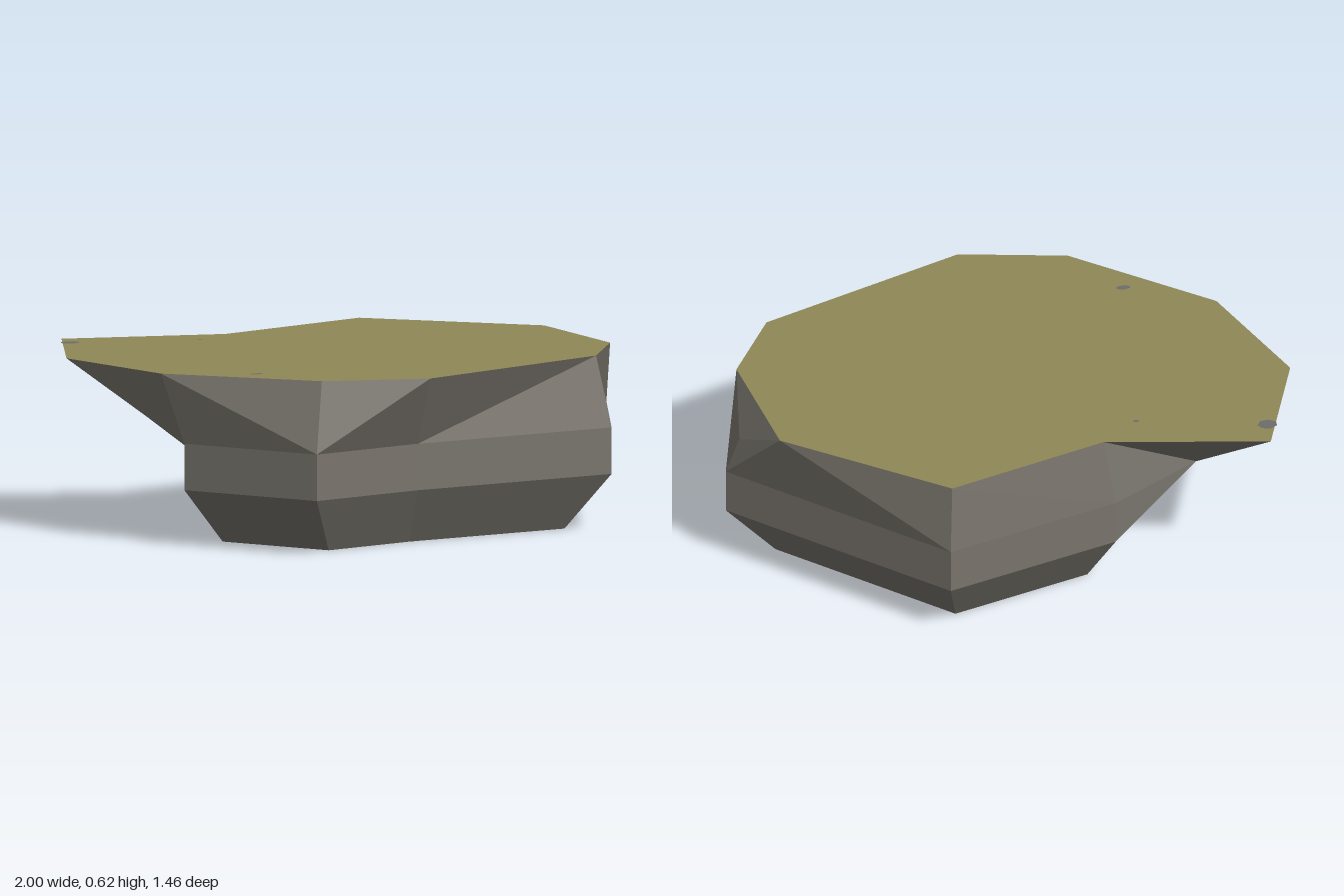
import * as THREE from 'three';

const rock = new THREE.MeshStandardMaterial({ name: 'rock', color: 0x79756d });
const grass = new THREE.MeshStandardMaterial({ name: 'grass', color: 0x8f8857 });
const pebble = new THREE.MeshStandardMaterial({ name: 'pebble', color: 0x6d6d6b });

const TOP = 0.615, SHOULDER = 0.365, WAIST = 0.2;

// Outlines as [x, z], counter-clockwise seen from above
const topRing = [
  [-0.81, 0.3], [-0.34, 0.66], [0.04, 0.73], [0.77, 0.42], [0.92, 0.15],
  [0.84, -0.31], [0.29, -0.7], [-0.28, -0.5], [-0.86, -0.59], [-1, -0.15],
];
const shoulderRing = [
  [-0.73, 0.32], [-0.38, 0.72], [0.04, 0.6], [0.81, 0.47],
  [1, -0.11], [0.3, -0.73], [-0.32, -0.52], [-0.64, -0.31],
];
// The waist is undercut below the overhanging ledge
const waistRing = [...shoulderRing.slice(0, 7), [-0.46, -0.09]];
const baseRing = waistRing.map(([x, z]) => [x * 0.8 + 0.02, z * 0.8]);

const raise = (ring, y) => ring.map(([x, z]) => [x, y, z]);

function flatMesh(name, triangles) {
  const geo = new THREE.BufferGeometry();
  geo.setAttribute('position', new THREE.Float32BufferAttribute(triangles.flat(2), 3));
  geo.computeVertexNormals();
  const mesh = new THREE.Mesh(geo, rock);
  mesh.name = name;
  return mesh;
}

// Joins two rings with equal counts
function band(name, low, high) {
  const tris = [];
  low.forEach((a, i) => {
    const j = (i + 1) % low.length;
    tris.push([a, low[j], high[j]], [a, high[j], high[i]]);
  });
  return flatMesh(name, tris);
}

// Flat outline, facing up or down
function cap(name, ring, y, material, up) {
  const shape = new THREE.Shape(ring.map(([x, z]) => new THREE.Vector2(x, up ? -z : z)));
  const geo = new THREE.ShapeGeometry(shape);
  geo.rotateX(up ? -Math.PI / 2 : Math.PI / 2);
  const mesh = new THREE.Mesh(geo, material);
  mesh.name = name;
  mesh.position.y = y;
  return mesh;
}

// Irregular facets between the shoulder and the top edge
function upperFacets() {
  const [c, d, e, g, h, i, j, k, a, b] = raise(topRing, TOP);
  const [C, D, E, G, P, J, L, Q] = raise(shoulderRing, SHOULDER);
  const n = [0.95, 0.49, -0.1];
  return flatMesh('upperRock', [
    [C, D, c], [c, D, d], [d, D, e], [D, E, e], [e, E, g], [E, G, g],
    [G, P, g], [g, P, h], [h, P, n], [h, n, i], [i, n, P],
    [i, P, J], [i, J, j], [J, L, j], [j, L, k],
    [k, L, Q], [k, Q, a], [a, Q, b], [b, Q, C], [b, C, c],
  ]);
}

export function createModel() {
  const group = new THREE.Group();
  group.name = 'grassyRock';
  const shoulder = raise(shoulderRing, SHOULDER);
  const waist = raise(waistRing, WAIST);
  group.add(
    upperFacets(),
    band('middleRock', waist, shoulder),
    band('lowerRock', raise(baseRing, 0), waist),
    cap('rockBase', baseRing, 0, rock, false),
    cap('grassTop', topRing, TOP, grass, true),
  );

  // Small bare patches in the grass: x, z, half width, half depth
  for (const [x, z, w, d] of [
    [-0.865, -0.485, 0.036, 0.028], [-0.5, 0.432, 0.027, 0.013], [-0.413, -0.392, 0.011, 0.007],
  ]) {
    const patch = new THREE.Mesh(new THREE.CircleGeometry(1, 7).rotateX(-Math.PI / 2), pebble);
    patch.name = 'barePatch';
    patch.scale.set(w, 1, d);
    patch.position.set(x, TOP + 0.002, z);
    group.add(patch);
  }
  return group;
}
